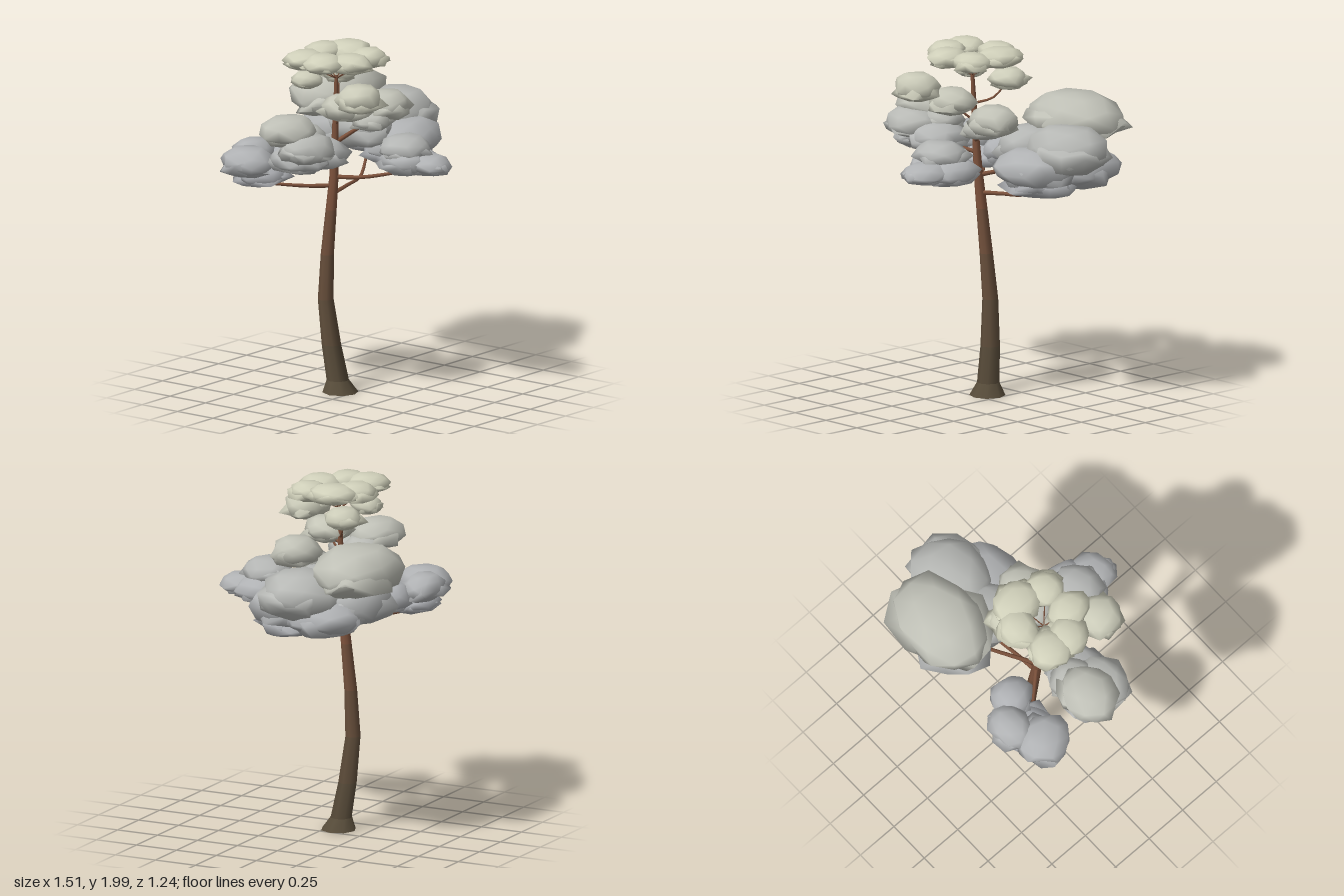
import * as THREE from 'three';
import { mergeVertices } from 'three/addons/utils/BufferGeometryUtils.js';

const branchMat = new THREE.MeshStandardMaterial({ color: 0x7d523c });
const V = (p) => new THREE.Vector3(...p);

function seeded(seed) {
  let s = seed * 7919 + 13;
  return () => ((s = (s * 16807) % 2147483647) / 2147483647);
}

// Low-poly leaf clump: domed top, ragged rim, shallow underside
function leafClump(seed, rx, ry, rz, ragged) {
  const rand = seeded(seed);
  rand();
  let geo = new THREE.IcosahedronGeometry(1, 1);
  geo.deleteAttribute('normal');
  geo.deleteAttribute('uv');
  geo = mergeVertices(geo, 1e-3);
  geo.rotateY(rand() * 6.28);
  const pos = geo.attributes.position;
  for (let i = 0; i < pos.count; i++) {
    const v = new THREE.Vector3().fromBufferAttribute(pos, i);
    const rim = 1 - Math.abs(v.y);
    const k = 1 + (rand() - 0.5) * ragged * rim;
    const lift = (rand() - 0.5) * ragged * rim;
    const y = v.y < 0 ? v.y * 0.88 : Math.min(v.y * 1.15, 1);
    pos.setXYZ(i, v.x * k * rx, (y + lift) * ry, v.z * k * rz);
  }
  geo.computeVertexNormals();
  return geo;
}

// Tapered limb through a list of points
function limb(points, r0, r1, sides = 6) {
  const curve = new THREE.CatmullRomCurve3(points.map(V));
  const segs = points.length * 2;
  const geo = new THREE.TubeGeometry(curve, segs, 1, sides, false);
  const pos = geo.attributes.position;
  for (let i = 0; i < pos.count; i++) {
    const t = Math.floor(i / (sides + 1)) / segs;
    const c = curve.getPointAt(t);
    const v = new THREE.Vector3().fromBufferAttribute(pos, i);
    v.sub(c).multiplyScalar(r0 + (r1 - r0) * t).add(c);
    pos.setXYZ(i, v.x, v.y, v.z);
  }
  return geo;
}

// Straight-sided trunk section between two level rings [x, y, z, radius]
function trunkSection(a, b, sides = 8) {
  const geo = new THREE.CylinderGeometry(b[3], a[3], b[1] - a[1], sides, 1, a[1] > 0.01);
  const pos = geo.attributes.position;
  for (let i = 0; i < pos.count; i++) {
    const r = pos.getY(i) > 0 ? b : a;
    pos.setXYZ(i, pos.getX(i) + r[0], r[1], pos.getZ(i) + r[2]);
  }
  return geo;
}

export function createModel() {
  const tree = new THREE.Group();
  tree.name = 'tree';
  const add = (parent, geo, mat, name) => {
    const mesh = new THREE.Mesh(geo, mat);
    mesh.name = name;
    parent.add(mesh);
  };
  const group = (name) => {
    const g = new THREE.Group();
    g.name = name;
    tree.add(g);
    return g;
  };

  // Leaning trunk, darker towards the root flare
  const trunk = group('trunk');
  const rings = [
    [-0.088, 0.01, -0.072, 0.1], [-0.095, 0.08, -0.085, 0.062], [-0.112, 0.28, -0.116, 0.054],
    [-0.135, 0.54, -0.138, 0.044], [-0.146, 0.8, -0.118, 0.037], [-0.15, 1.06, -0.088, 0.031],
    [-0.153, 1.25, -0.066, 0.026], [-0.162, 1.5, -0.05, 0.019], [-0.17, 1.84, -0.035, 0.01],
  ];
  const dark = new THREE.Color(0x574c3a), light = new THREE.Color(0x7d523c);
  for (let i = 0; i < rings.length - 1; i++) {
    const color = dark.clone().lerp(light, Math.min(1, (i / 5) ** 2));
    add(trunk, trunkSection(rings[i], rings[i + 1]), new THREE.MeshStandardMaterial({ color }),
      i === 0 ? 'rootFlare' : 'trunkSection');
  }

  // Main branches
  const branches = group('branches');
  [
    [[-0.15, 1.15, -0.08], [0, 1.165, -0.1], [0.17, 1.185, -0.13], [0.25, 1.26, -0.16]],
    [[-0.155, 1.25, -0.07], [0, 1.3, -0.18], [0.2, 1.4, -0.33]],
    [[-0.15, 1.2, -0.07], [-0.25, 1.2, -0.18], [-0.4, 1.22, -0.34]],
    [[-0.155, 1.38, -0.06], [-0.3, 1.4, -0.03], [-0.5, 1.45, 0]],
    [[-0.15, 1.25, -0.07], [-0.11, 1.265, 0.1], [-0.02, 1.32, 0.34]],
    [[-0.16, 1.45, -0.05], [-0.05, 1.52, 0.02], [0.08, 1.58, 0.08]],
  ].forEach((p) => add(branches, limb(p, 0.013, 0.008), branchMat, 'branch'));
  [
    [[-0.165, 1.62, -0.045], [-0.24, 1.68, 0.1], [-0.32, 1.75, 0.23]],
    [[-0.165, 1.66, -0.045], [-0.07, 1.7, -0.1], [-0.01, 1.79, -0.15]],
    [[-0.16, 1.55, -0.05], [-0.19, 1.6, 0], [-0.22, 1.65, 0.06]],
  ].forEach((p) => add(branches, limb(p, 0.008, 0.005, 5), branchMat, 'smallBranch'));

  // Leaf clumps by cluster: [x, y, z, rx, ry, rz]
  const clusters = {
    crown: [
      [-0.325, 1.938, -0.13, 0.12, 0.055, 0.115], [-0.11, 1.938, -0.17, 0.125, 0.055, 0.105],
      [0.0, 1.94, -0.08, 0.125, 0.055, 0.135], [-0.33, 1.935, 0.0, 0.115, 0.055, 0.11],
      [-0.22, 1.93, 0.11, 0.11, 0.055, 0.12], [-0.04, 1.93, 0.09, 0.11, 0.055, 0.105],
    ],
    upperLeaves: [
      [-0.32, 1.77, 0.25, 0.13, 0.08, 0.13], [0.0, 1.81, -0.15, 0.11, 0.062, 0.11],
      [-0.23, 1.675, 0.07, 0.13, 0.075, 0.13], [-0.3, 1.82, -0.14, 0.085, 0.05, 0.09],
    ],
    middleLeaves: [
      [0.13, 1.625, 0.08, 0.145, 0.085, 0.135], [0.02, 1.56, 0.06, 0.12, 0.06, 0.12],
    ],
    sideLeaves: [
      [-0.57, 1.59, -0.06, 0.18, 0.085, 0.15], [-0.55, 1.5, 0.06, 0.17, 0.085, 0.15],
      [-0.4, 1.44, 0.02, 0.18, 0.085, 0.17], [-0.55, 1.43, 0.0, 0.14, 0.075, 0.17],
      [-0.43, 1.52, -0.05, 0.12, 0.08, 0.13],
    ],
    rearSideLeaves: [
      [-0.54, 1.36, -0.37, 0.15, 0.085, 0.15], [-0.37, 1.37, -0.46, 0.15, 0.08, 0.11],
      [-0.23, 1.33, -0.33, 0.115, 0.085, 0.12], [-0.42, 1.27, -0.36, 0.17, 0.065, 0.14],
    ],
    frontLeaves: [
      [-0.03, 1.45, 0.34, 0.155, 0.075, 0.14], [0.0, 1.37, 0.47, 0.125, 0.06, 0.15],
      [-0.07, 1.38, 0.36, 0.11, 0.08, 0.14], [0.07, 1.36, 0.33, 0.12, 0.075, 0.16],
    ],
    largeLeaves: [
      [0.285, 1.6, -0.385, 0.31, 0.14, 0.245], [0.49, 1.48, -0.14, 0.245, 0.14, 0.225],
      [0.37, 1.38, 0.0, 0.23, 0.12, 0.22], [0.27, 1.42, -0.35, 0.26, 0.13, 0.215],
      [0.45, 1.36, -0.27, 0.2, 0.11, 0.23], [0.2, 1.46, -0.14, 0.18, 0.12, 0.2],
      [0.39, 1.305, -0.03, 0.21, 0.08, 0.19],
    ],
  };
  // Leaves turn from cool to warm with height
  const cool = new THREE.Color(0xaeb0b4), warm = new THREE.Color(0xd0d0ba);
  let seed = 1;
  for (const [name, list] of Object.entries(clusters)) {
    const g = group(name);
    for (const [x, y, z, rx, ry, rz] of list) {
      const color = cool.clone().lerp(warm, THREE.MathUtils.smoothstep(y, 1.25, 1.95));
      const mat = new THREE.MeshStandardMaterial({ color });
      // Domed cap with a more ragged layer showing beneath it
      const cap = leafClump(seed++, rx, ry, rz, 0.32);
      const skirt = leafClump(seed++, rx * 0.96, ry * 0.85, rz * 0.96, 0.65);
      add(g, cap.translate(x, y, z), mat, 'leafCap');
      add(g, skirt.translate(x, y - ry * 0.2, z), mat, 'leafSkirt');
    }
  }

  // Thin twigs carrying the crown
  const top = [-0.17, 1.82, -0.035];
  for (const [x, y, z] of clusters.crown) {
    const mid = [(x + top[0]) / 2, 1.865, (z + top[2]) / 2];
    add(branches, limb([top, mid, [x, y - 0.02, z]], 0.004, 0.002, 5), branchMat, 'twig');
  }
  return tree;
}
